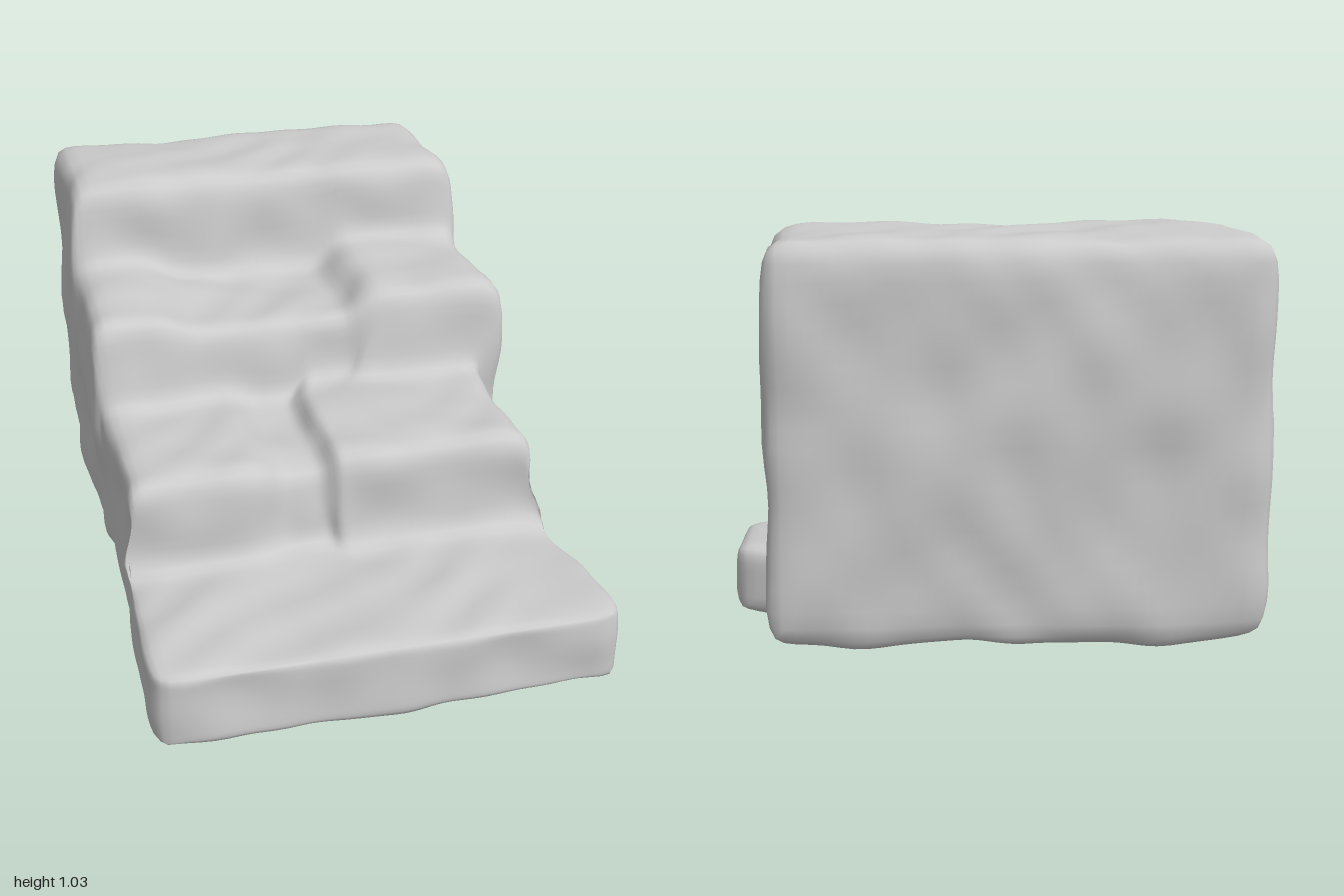
import * as THREE from 'three';
import { mergeVertices } from 'three/addons/utils/BufferGeometryUtils.js';

const stone = new THREE.MeshStandardMaterial({ color: 0xcccccc });
const lerp = THREE.MathUtils.lerp;

// Smooth, irregular bumps for weathered stone: broad dents plus smaller ones
function bumps(x, y, z) {
  const broad = Math.sin(9 * x + 1.5 * Math.sin(8 * z + 3 * y))
    + Math.sin(10 * z + 1.5 * Math.sin(9 * y + 5 * x) + 1)
    + Math.sin(11 * y + 1.5 * Math.sin(8 * x - 7 * z) + 2);
  const small = Math.sin(19 * x + 2 * Math.sin(9 * y + 5 * z)) * Math.sin(18 * z + 2 * Math.sin(8 * x - 7 * y))
    + Math.sin(20 * y + 2 * Math.sin(9 * z)) * Math.sin(17 * x + 2 * Math.sin(8 * z) + 1);
  return broad * 0.25 + small * 0.3;
}

// Rounds off corners by averaging neighbours, then pushes vertices along their normals
function weather(source, passes, amount) {
  source.deleteAttribute('uv');
  source.deleteAttribute('normal');
  const geo = mergeVertices(source, 1e-5);
  const pos = geo.attributes.position;
  const index = geo.index.array;
  const near = Array.from({ length: pos.count }, () => new Set());
  for (let i = 0; i < index.length; i += 3) {
    for (let k = 0; k < 3; k++) {
      near[index[i + k]].add(index[i + (k + 1) % 3]).add(index[i + (k + 2) % 3]);
    }
  }
  for (let pass = 0; pass < passes; pass++) {
    const old = pos.array.slice();
    near.forEach((set, i) => {
      for (let c = 0; c < 3; c++) {
        let sum = 0;
        for (const j of set) sum += old[j * 3 + c];
        pos.array[i * 3 + c] = lerp(old[i * 3 + c], sum / set.size, 0.7);
      }
    });
  }
  geo.computeVertexNormals();
  const n = geo.attributes.normal;
  for (let i = 0; i < pos.count; i++) {
    const x = pos.getX(i), y = pos.getY(i), z = pos.getZ(i);
    const d = amount * bumps(x, y, z);
    pos.setXYZ(i, x + n.getX(i) * d, y + n.getY(i) * d, z + n.getZ(i) * d);
  }
  geo.computeVertexNormals();
  return geo;
}

// Columns spent on each tread and riser, front to back
const spans = [15, 8, 14, 8, 14, 7, 14];
const columns = spans.reduce((a, b) => a + b, 0);

// Outline of the treads and risers at a given x; worn stones sit lower
function stairPoint(x, t) {
  const second = x < -0.23 ? 0.508 : x < -0.035 ? 0.475 : 0.525;
  const third = x < -0.4 ? 0.765 : x < 0.165 ? 0.705 : 0.78;
  const front2 = x > -0.23 && x < -0.035 ? 0.445 : 0.48;
  const front3 = x > -0.4 && x < 0.165 ? -0.04 : -0.015;
  const outline = [
    [0.99, 0.256], [front2 + 0.015, 0.245],
    [front2, second], [front3 + 0.03, second - 0.01],
    [front3, third], [-0.455, third],
    [-0.48, 1.008], [-0.988, 1.008],
  ];
  let c = t * columns, s = 0;
  while (s < spans.length - 1 && c > spans[s]) c -= spans[s++];
  const f = c / spans[s];
  return [lerp(outline[s][0], outline[s + 1][0], f), lerp(outline[s][1], outline[s + 1][1], f)];
}

// Soft round swelling around a point on a flank
const swell = (y, z, y0, z0, ry, rz) => Math.exp(-(((z - z0) / rz) ** 2) - ((y - y0) / ry) ** 2);

// Side limits, with the narrower second step and bulging stones
function rightEdge(y, z) {
  if (z > 0 && z < 0.5 && y > 0.31) return 0.502;
  if (z > 0.31 && z < 0.63) return 0.552;
  return 0.582 + 0.015 * swell(y, z, 0.45, -0.2, 0.2, 0.25);
}
function leftEdge(y, z) {
  return (z > 0 && z < 0.49 ? -0.628 : -0.65) - 0.025 * swell(y, z, 0.54, -0.4, 0.13, 0.12);
}

// Underside, lifted at the front and behind the middle
const underside = (z) => 0.03 + 0.012 * Math.cos(9 * (z - 0.8)) + 0.008 * z;

// One solid flight of steps, shaped from a subdivided box
function flightGeometry() {
  const box = new THREE.BoxGeometry(1, 1, 1, 50, 20, columns);
  const p = box.attributes.position;
  for (let i = 0; i < p.count; i++) {
    const a = p.getX(i) + 0.5, v = p.getY(i) + 0.5, t = 0.5 - p.getZ(i);
    // Wider cells at the flanks give them rounder edges
    const u = a + 0.5 * Math.sin(2 * Math.PI * a) / (2 * Math.PI);
    const [topZ, topY] = stairPoint(lerp(-0.65, 0.585, u), t);
    const bottomZ = lerp(0.99, -0.988, t);
    const y = lerp(underside(bottomZ), topY, v);
    const z = lerp(bottomZ, topZ, v);
    p.setXYZ(i, lerp(leftEdge(y, z), rightEdge(y, z), u), y, z);
  }
  const geo = weather(box, 4, 0.014);
  // Rest on the ground
  geo.computeBoundingBox();
  return geo.translate(0, -geo.boundingBox.min.y, 0);
}

// Block that grows out of the flank, tapering outwards
function blockGeometry() {
  const box = new THREE.BoxGeometry(0.2, 0.2, 0.4, 8, 8, 10);
  const p = box.attributes.position;
  for (let i = 0; i < p.count; i++) {
    const out = p.getX(i) / 0.2 + 0.5;
    p.setY(i, p.getY(i) * (1 - 0.15 * out));
    p.setZ(i, p.getZ(i) * (1 - 0.38 * out) + 0.02 * out);
  }
  box.translate(0.568, 0.13, -0.65);
  return weather(box, 3, 0.008);
}

export function createModel() {
  const model = new THREE.Group();
  model.name = 'stoneStairs';
  const add = (name, geometry) => {
    const mesh = new THREE.Mesh(geometry, stone);
    mesh.name = name;
    model.add(mesh);
  };
  add('stepFlight', flightGeometry());
  add('sideStone', blockGeometry());
  return model;
}
